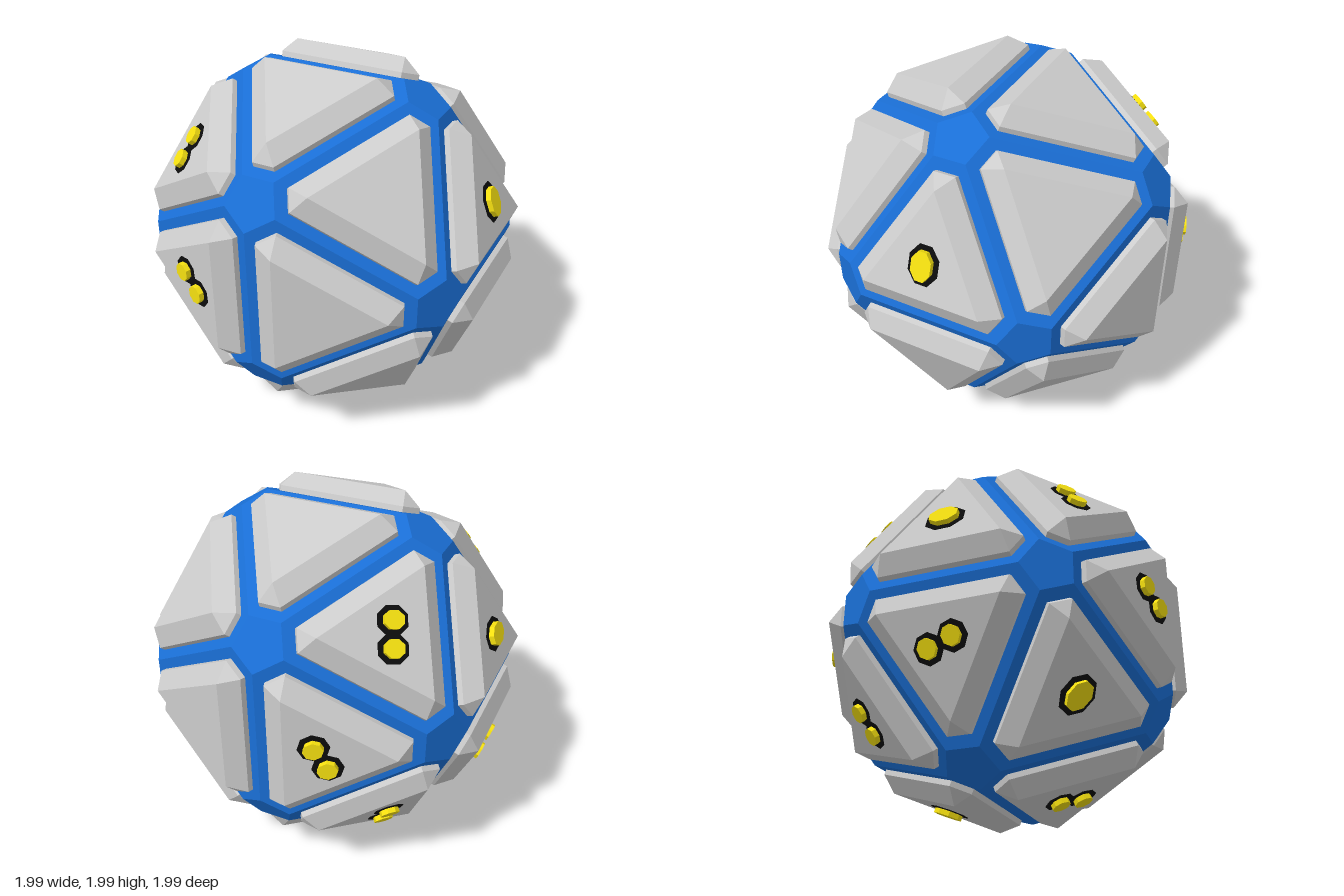
import * as THREE from 'three';
import { ConvexGeometry } from 'three/addons/geometries/ConvexGeometry.js';

const EDGE = 1.168;            // icosahedron edge length
const INRADIUS = 0.883;        // centre to face
const PANEL_HEIGHT = 0.111;

const blue = new THREE.MeshStandardMaterial({ color: 0x1a6fd6 });
const grey = new THREE.MeshStandardMaterial({ color: 0xcccccc });
const yellow = new THREE.MeshStandardMaterial({ color: 0xf5e010 });
const black = new THREE.MeshStandardMaterial({ color: 0x0c0c0c });

const V = (x, y, z) => new THREE.Vector3(x, y, z);

// The twelve icosahedron corners: cyclic shifts of (0, ±1, ±phi)
function icosahedronCorners() {
  const a = EDGE / 2, b = a * (1 + Math.sqrt(5)) / 2, out = [];
  for (const s of [-a, a]) for (const t of [-b, b]) out.push(V(0, s, t), V(t, 0, s), V(s, t, 0));
  return out;
}

// Core with a small pentagon cut at every corner
function coreGeometry(corners) {
  const points = [];
  for (const p of corners) for (const q of corners) {
    if (p !== q && p.distanceTo(q) < EDGE * 1.1) points.push(p.clone().lerp(q, 0.153));
  }
  return new ConvexGeometry(points);
}

// Triangular panel: clipped outline, short wall, bevel up to a sharp triangle
function panelGeometry() {
  const low = [], high = [], top = [], pos = [];
  for (let k = 0; k < 3; k++) {
    const t = Math.PI / 2 + k * Math.PI * 2 / 3, c = Math.cos(t), s = Math.sin(t);
    for (const w of [-0.061, 0.061]) {
      const x = c * 0.454 - s * w, y = s * 0.454 + c * w;
      low.push(V(x, y, -0.005));
      high.push(V(x, y, 0.03));
    }
    top.push(V(c * 0.382, s * 0.382, PANEL_HEIGHT));
  }
  const tri = (...ps) => ps.forEach((p) => pos.push(p.x, p.y, p.z));
  for (let i = 0; i < 6; i++) {
    const j = (i + 1) % 6;
    tri(low[i], low[j], high[j]);
    tri(low[i], high[j], high[i]);
  }
  for (let k = 0; k < 3; k++) {
    const a = high[2 * k], b = high[2 * k + 1], c = high[(2 * k + 2) % 6], next = top[(k + 1) % 3];
    tri(a, b, top[k]);
    tri(b, c, next);
    tri(b, next, top[k]);
  }
  tri(...top);
  const g = new THREE.BufferGeometry();
  g.setAttribute('position', new THREE.Float32BufferAttribute(pos, 3));
  g.computeVertexNormals();
  return g;
}

// Group at a face centre: local z points outward, local y along "up"
function faceFrame(normal, up, distance) {
  const y = up.clone().addScaledVector(normal, -up.dot(normal)).normalize();
  const x = y.clone().cross(normal);
  const g = new THREE.Group();
  g.quaternion.setFromRotationMatrix(new THREE.Matrix4().makeBasis(x, y, normal));
  g.position.copy(normal).multiplyScalar(distance);
  return g;
}

// Plain raised stud on a dark plate, standing on local z
function addStud(group, y, width, length) {
  const prism = (name, material, w, l, h) => {
    const g = new THREE.CylinderGeometry(1, 1, h, 8).toNonIndexed();
    g.rotateY(Math.PI / 8).rotateX(Math.PI / 2).scale(w, l, 1).translate(0, y, h / 2);
    g.computeVertexNormals();
    const mesh = new THREE.Mesh(g, material);
    mesh.name = name;
    group.add(mesh);
  };
  prism('studPlate', black, width + 0.03, length + 0.03, 0.004);
  prism('stud', yellow, width, length, 0.032);
}

// Marked faces: rough outward direction, stud axis, number of studs
const MARKS = [
  [V(0.934, 0.357, 0), V(0, 1, 0), 1],
  [V(-0.934, 0.357, 0), V(0, 0, 1), 1],
  [V(-0.934, -0.357, 0), V(0, 0.05, 0.13), 2],
  [V(-0.357, 0, 0.934), V(0.12, -0.09, 0), 2],
  [V(-0.357, 0, -0.934), V(-0.07, -0.13, 0.03), 2],
  [V(0, -0.934, 0.357), V(0.1, 0.04, 0.1), 2],
  [V(0, -0.934, -0.357), V(0, 0, 1), 1],
  [V(-1, 1, 1), V(-0.04, -0.12, 0.07), 2],
  [V(-1, 1, -1), V(0.04, 0.12, 0.08), 2],
  [V(-1, -1, 1), V(0, 1, 1), 1],
  [V(-1, -1, -1), V(0.1, -0.2, 0.1), 2],
];

export function createModel() {
  const model = new THREE.Group();
  model.name = 'panelledIcosahedron';
  const body = new THREE.Group();
  body.name = 'body';
  body.position.y = 1.005;
  model.add(body);

  const corners = icosahedronCorners();
  const core = new THREE.Mesh(coreGeometry(corners), blue);
  core.name = 'core';
  body.add(core);

  // One panel on each of the twenty faces
  const panel = panelGeometry();
  const near = (p, q) => p.distanceTo(q) < EDGE * 1.1;
  for (let i = 0; i < 12; i++) for (let j = i + 1; j < 12; j++) for (let k = j + 1; k < 12; k++) {
    const [a, b, c] = [corners[i], corners[j], corners[k]];
    if (!near(a, b) || !near(b, c) || !near(a, c)) continue;
    const normal = a.clone().add(b).add(c).normalize();
    const frame = faceFrame(normal, a, INRADIUS);
    frame.name = 'facePanel';
    const mesh = new THREE.Mesh(panel, grey);
    mesh.name = 'panel';
    frame.add(mesh);
    body.add(frame);
  }

  // Studs on the marked panels
  for (const [direction, axis, count] of MARKS) {
    const frame = faceFrame(direction.clone().normalize(), axis, INRADIUS + PANEL_HEIGHT);
    frame.name = 'faceStuds';
    if (count === 1) addStud(frame, 0, 0.06, 0.085);
    else for (const side of [-1, 1]) addStud(frame, side * 0.07, 0.055, 0.05);
    body.add(frame);
  }
  return model;
}
